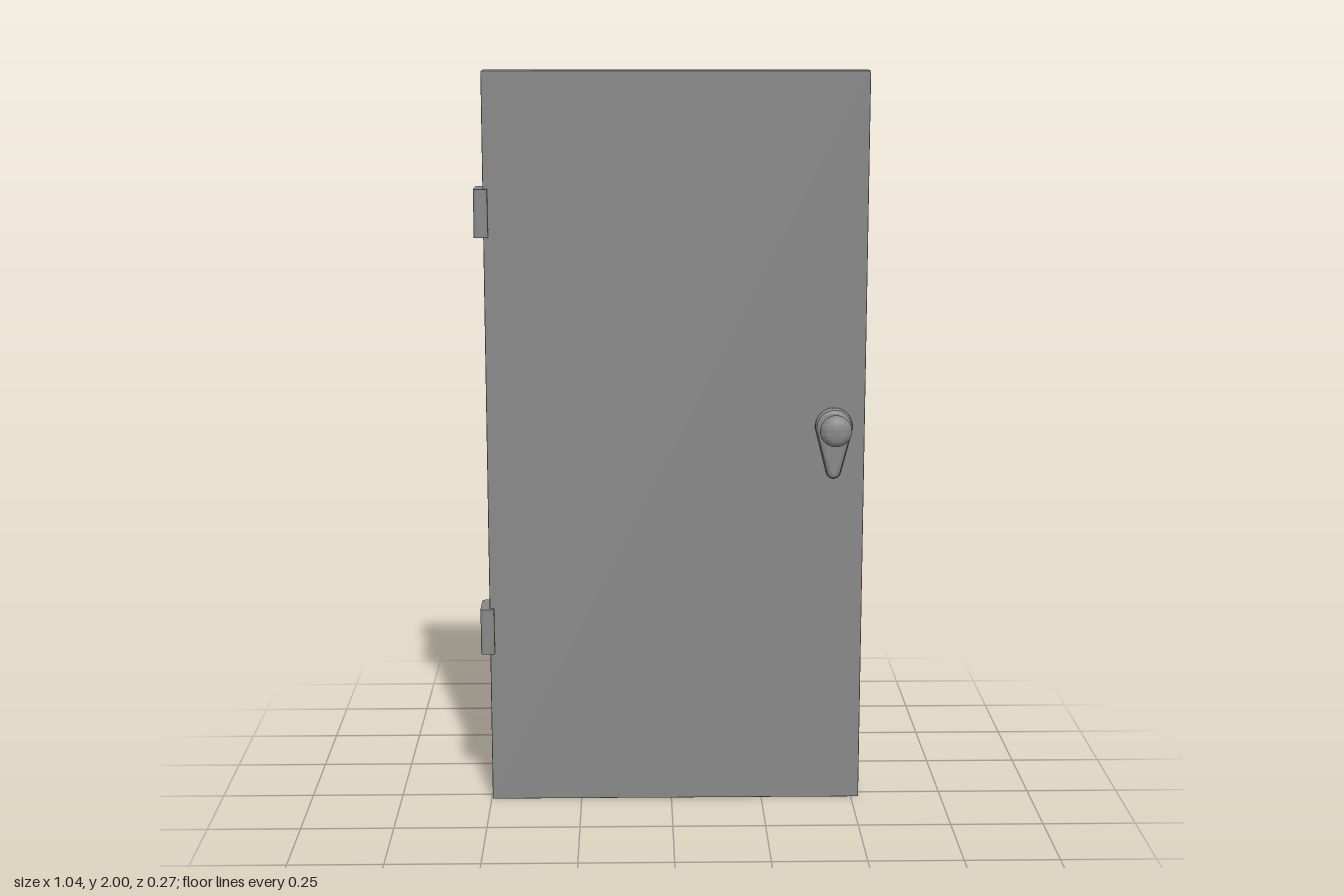
import * as THREE from 'three';
import { toCreasedNormals } from 'three/addons/utils/BufferGeometryUtils.js';
import { RoundedBoxGeometry } from 'three/addons/geometries/RoundedBoxGeometry.js';

const material = new THREE.MeshStandardMaterial({ color: 0x888888 });
const HALF_DEPTH = 0.036; // half the thickness of the door

function part(name, geometry) {
  const mesh = new THREE.Mesh(geometry, material);
  mesh.name = name;
  return mesh;
}

// Rounded rectangle centred on the origin
function roundedRect(w, h, r) {
  const x = w / 2 - r, y = h / 2 - r, q = Math.PI / 2;
  const s = new THREE.Shape();
  s.absarc(x, y, r, 0, q);
  s.absarc(-x, y, r, q, 2 * q);
  s.absarc(-x, -y, r, 2 * q, 3 * q);
  s.absarc(x, -y, r, 3 * q, 4 * q);
  s.closePath();
  return s;
}

// Teardrop: big circle at the origin joined by tangents to a small circle below
function teardrop(R, r, drop) {
  const a = Math.asin((R - r) / drop);
  const s = new THREE.Shape();
  s.absarc(0, 0, R, -a, Math.PI + a);
  s.absarc(0, -drop, r, Math.PI + a, 2 * Math.PI - a);
  s.closePath();
  return s;
}

function hingeGeometry() {
  const g = new THREE.ExtrudeGeometry(roundedRect(0.037, 0.102, 0.009), {
    depth: 0.127, bevelEnabled: false, curveSegments: 5,
  });
  g.rotateX(-Math.PI / 2);
  return toCreasedNormals(g, 0.6);
}

// Escutcheon plate and knob, facing +z
function createHandle(name) {
  const handle = new THREE.Group();
  handle.name = name;

  // Plate with a crisp chamfered rim
  const bevel = 0.012;
  const plateGeometry = new THREE.ExtrudeGeometry(teardrop(0.05 - bevel, 0.008, 0.122), {
    depth: 0.012, bevelEnabled: true, bevelSize: bevel, bevelThickness: bevel,
    bevelSegments: 2, curveSegments: 24,
  });
  const plate = part('backPlate', toCreasedNormals(plateGeometry, 0.35));
  plate.position.z = HALF_DEPTH;

  const neckGeometry = new THREE.CylinderGeometry(0.018, 0.018, 0.045, 32, 1, true);
  const neck = part('neck', neckGeometry.rotateX(Math.PI / 2));
  neck.position.z = 0.07;

  // Flattened round knob, turned from a profile
  const profile = new THREE.SplineCurve([
    [0.032, 0.087], [0.038, 0.093], [0.042, 0.102], [0.0425, 0.111],
    [0.039, 0.121], [0.029, 0.13], [0.014, 0.134], [0, 0.135],
  ].map(([r, y]) => new THREE.Vector2(r, y))).getPoints(24);
  profile.forEach((p) => { p.x = Math.max(p.x, 0); });
  const knobGeometry = new THREE.LatheGeometry([new THREE.Vector2(0, 0.087), ...profile], 36);
  knobGeometry.rotateX(Math.PI / 2);
  const knob = part('knob', toCreasedNormals(knobGeometry, 0.7));

  handle.add(plate, neck, knob);
  return handle;
}

export function createModel() {
  const model = new THREE.Group();
  model.name = 'door';

  // Door leaf
  const leaf = part('doorLeaf', new RoundedBoxGeometry(1.018, 2, HALF_DEPTH * 2, 1, 0.002));
  leaf.position.set(0.012, 1, 0);
  model.add(leaf);

  // Hinges wrapping the edge of the leaf
  [['lowerHinge', 0.423], ['upperHinge', 1.566]].forEach(([name, y]) => {
    const hinge = part(name, hingeGeometry());
    hinge.position.set(-0.503, y, 0);
    model.add(hinge);
  });

  // Matching handles on both faces
  ['frontHandle', 'backHandle'].forEach((name, i) => {
    const handle = createHandle(name);
    handle.position.set(0.437, 1.055, 0);
    handle.rotation.y = i * Math.PI;
    model.add(handle);
  });

  return model;
}
